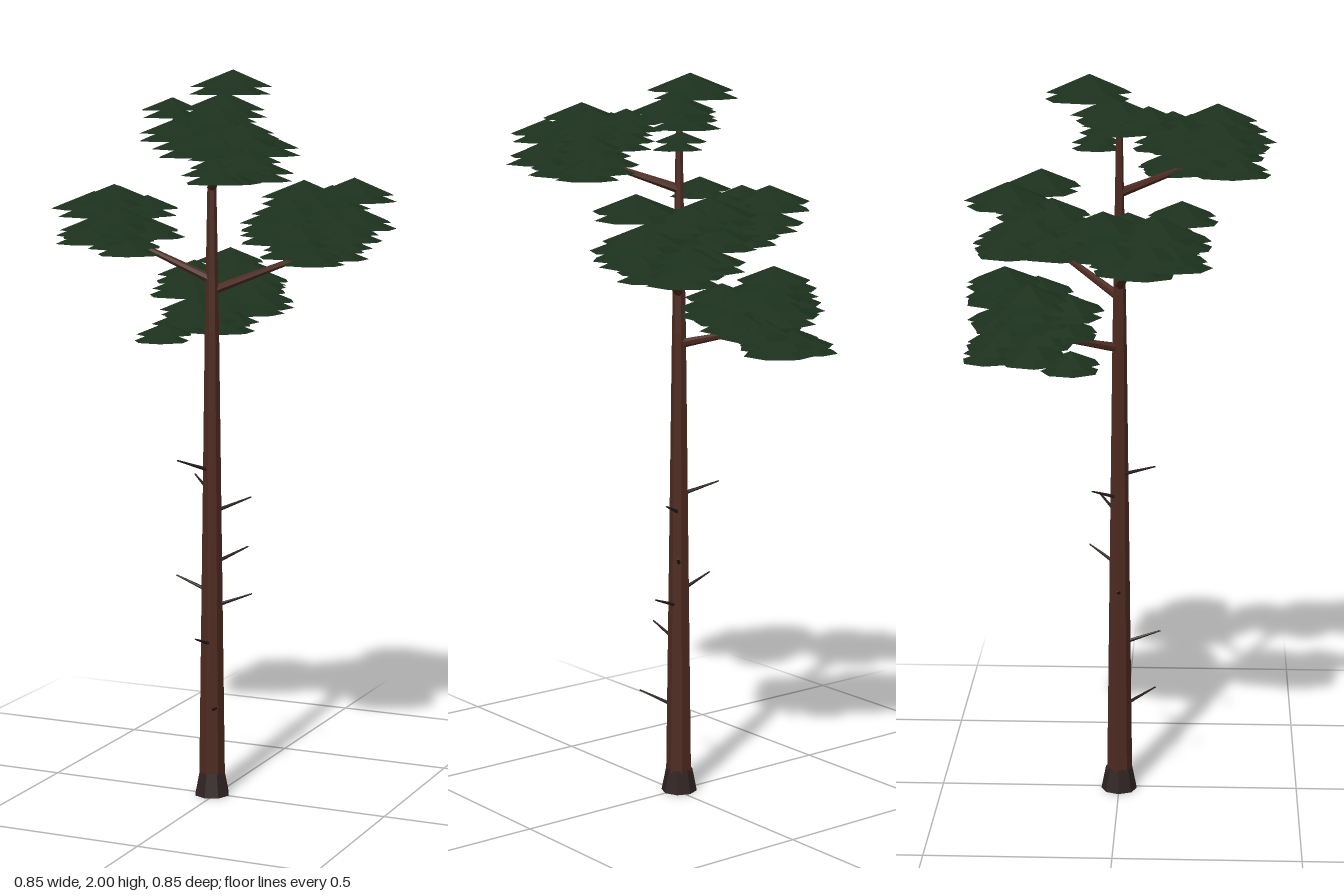
import * as THREE from 'three';

const mat = (name, color) => {
  const m = new THREE.MeshStandardMaterial({ color, flatShading: true });
  m.name = name;
  return m;
};

// Needle clumps of each foliage group: x, base y, z, radius
const CLUMPS = {
  crownTop: [
    [0.015, 1.955, -0.08, 0.117], [0.02, 1.895, -0.015, 0.118], [-0.09, 1.895, 0.08, 0.085],
    [-0.02, 1.87, 0.0, 0.1], [0.03, 1.82, -0.06, 0.07],
  ],
  frontFoliage: [
    [0.12, 1.87, 0.26, 0.11], [0.06, 1.86, 0.14, 0.1], [0.14, 1.84, 0.19, 0.11],
    [0.02, 1.84, 0.26, 0.108], [0.21, 1.83, 0.3, 0.1], [0.14, 1.81, 0.31, 0.112],
    [0.2, 1.8, 0.12, 0.09], [0.05, 1.8, 0.27, 0.1], [0.22, 1.77, 0.3, 0.095],
    [0.12, 1.77, 0.2, 0.1], [0.16, 1.735, 0.28, 0.1], [0.19, 1.735, 0.13, 0.09],
    [0.14, 1.735, 0.31, 0.09], [0.07, 1.81, 0.16, 0.1], [0.13, 1.75, 0.15, 0.1],
  ],
  rightFoliage: [
    [-0.22, 1.665, 0.17, 0.09], [-0.305, 1.64, -0.03, 0.115], [-0.315, 1.63, 0.1, 0.118],
    [-0.19, 1.63, 0.03, 0.09], [-0.32, 1.57, 0.08, 0.1], [-0.3, 1.58, -0.02, 0.11],
    [-0.22, 1.6, 0.15, 0.1], [-0.2, 1.57, 0.03, 0.1], [-0.27, 1.54, 0.03, 0.1],
    [-0.3, 1.56, 0.14, 0.1], [-0.23, 1.525, 0.06, 0.09], [-0.25, 1.605, 0.04, 0.1],
    [-0.24, 1.57, 0.12, 0.1],
  ],
  leftFoliage: [
    [0.31, 1.665, -0.23, 0.115], [0.13, 1.65, -0.31, 0.12], [0.21, 1.64, -0.32, 0.112],
    [0.3, 1.59, -0.25, 0.11], [0.22, 1.6, -0.22, 0.11], [0.08, 1.58, -0.25, 0.11],
    [0.14, 1.61, -0.19, 0.11], [0.21, 1.55, -0.085, 0.09], [0.28, 1.54, -0.2, 0.1],
    [0.2, 1.54, -0.3, 0.1], [0.1, 1.55, -0.18, 0.1], [0.21, 1.495, -0.16, 0.09],
    [0.14, 1.53, -0.31, 0.1], [0.3, 1.56, -0.18, 0.1], [0.21, 1.5, -0.31, 0.1],
    [0.15, 1.57, -0.14, 0.1], [0.15, 1.51, -0.2, 0.09],
  ],
  backFoliage: [
    [-0.09, 1.465, -0.3, 0.1], [-0.17, 1.43, -0.23, 0.105], [-0.06, 1.42, -0.29, 0.12],
    [-0.18, 1.39, -0.23, 0.11], [0.01, 1.39, -0.2, 0.11], [-0.14, 1.4, -0.13, 0.1],
    [0.02, 1.36, -0.26, 0.1], [-0.12, 1.37, -0.29, 0.11], [-0.08, 1.34, -0.2, 0.11],
    [-0.03, 1.34, -0.3, 0.1], [-0.12, 1.31, -0.3, 0.1], [-0.18, 1.29, -0.33, 0.075],
    [-0.2, 1.29, -0.22, 0.09], [-0.21, 1.27, -0.12, 0.08], [-0.12, 1.285, -0.28, 0.1],
    [-0.13, 1.34, -0.15, 0.1], [0.02, 1.42, -0.22, 0.1], [-0.15, 1.32, -0.2, 0.1],
  ],
};

// Dead twigs on the bare trunk: tip position
const TWIGS = [
  [-0.07, 0.955, 0.1], [-0.095, 0.89, -0.07], [0.08, 0.84, -0.06], [0.06, 0.695, -0.085],
  [-0.12, 0.615, 0.0], [0.095, 0.575, -0.03], [-0.01, 0.468, 0.115], [0.05, 0.28, 0.1],
];

// Branches: start height on the trunk, then the tip position
const BRANCHES = [
  [1.44, [-0.29, 1.57, 0.06]], [1.41, [0.26, 1.53, -0.24]],
  [1.27, [-0.13, 1.33, -0.22]], [1.69, [0.13, 1.77, 0.25]],
];

const AXIS_X = -0.012;

// Small seeded generator, -1 to 1
function seeded(seed) {
  return () => {
    seed = (seed * 16807) % 2147483647;
    return (seed / 2147483647) * 2 - 1;
  };
}

// Tapered round limb between two points
function limb(name, from, to, r0, r1, material) {
  const a = new THREE.Vector3(...from), b = new THREE.Vector3(...to);
  const dir = b.clone().sub(a);
  const mesh = new THREE.Mesh(new THREE.CylinderGeometry(r1, r0, dir.length(), 7), material);
  mesh.name = name;
  mesh.position.copy(a).add(b).multiplyScalar(0.5);
  mesh.quaternion.setFromUnitVectors(new THREE.Vector3(0, 1, 0), dir.normalize());
  return mesh;
}

export function createModel() {
  const tree = new THREE.Group();
  tree.name = 'pineTree';
  const bark = mat('bark', 0x4d2a20);
  const baseBark = mat('dark base bark', 0x2f2222);
  const deadWood = mat('dead wood', 0x2a1e1c);
  const needles = mat('needles', 0x1b301c);

  // Trunk and flared foot
  tree.add(limb('trunk', [AXIS_X, 0.03, 0], [AXIS_X, 1.3, 0], 0.037, 0.02, bark));
  tree.add(limb('upperTrunk', [AXIS_X, 1.3, 0], [AXIS_X, 1.92, 0], 0.02, 0.008, bark));
  const foot = new THREE.Mesh(new THREE.CylinderGeometry(0.037, 0.05, 0.065, 8), baseBark);
  foot.name = 'trunkFoot';
  foot.position.set(AXIS_X, 0.0325, 0);
  tree.add(foot);

  // Bare twigs
  for (const tip of TWIGS) {
    tree.add(limb('deadTwig', [AXIS_X, tip[1] - 0.04, 0], tip, 0.006, 0.002, deadWood));
  }

  // Living branches
  for (const [y, tip] of BRANCHES) {
    tree.add(limb('branch', [AXIS_X, y, 0], tip, 0.013, 0.005, bark));
  }

  // Foliage: flat seven-sided cones, each over a turned and shifted lower layer
  const cone = new THREE.ConeGeometry(1, 1, 7).rotateY(Math.PI / 2).translate(0, 0.5, 0);
  const rand = seeded(71);
  for (const [name, list] of Object.entries(CLUMPS)) {
    const group = new THREE.Group();
    group.name = name;
    const addLayer = (x, y, z, r, turn) => {
      const layer = new THREE.Mesh(cone, needles);
      layer.name = 'needleLayer';
      layer.position.set(x, y, z);
      layer.rotation.y = turn;
      layer.scale.set(r, r * 0.4, r);
      group.add(layer);
    };
    for (const [x, y, z, r] of list) {
      addLayer(x, y, z, r, 0);
      addLayer(x + rand() * 0.015, y - 0.02, z + rand() * 0.015, r * 0.98, Math.PI / 7 + rand() * 0.2);
    }
    tree.add(group);
  }
  return tree;
}
